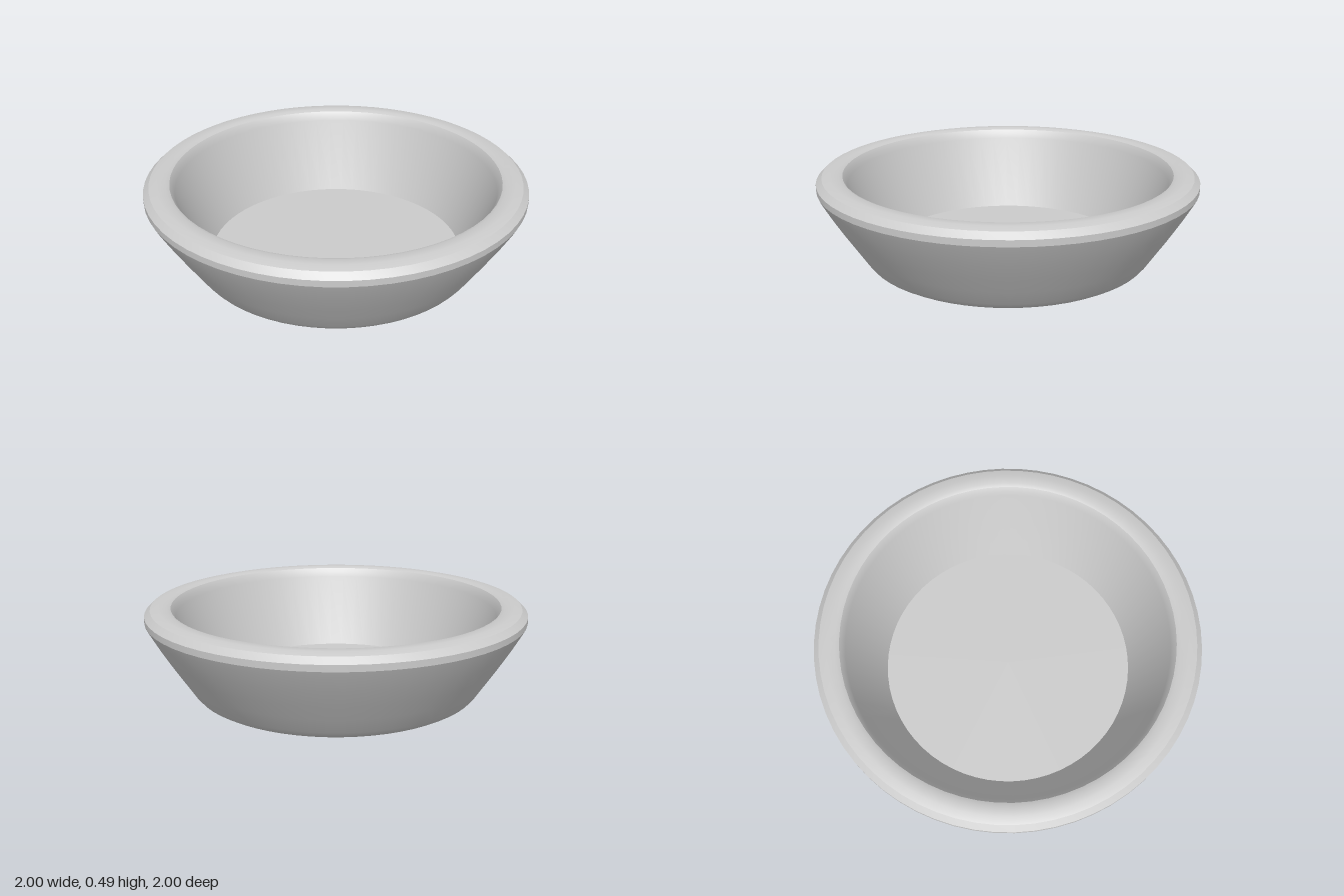
import * as THREE from 'three';
import { toCreasedNormals } from 'three/addons/utils/BufferGeometryUtils.js';

// Revolves a profile of [radius, height] pairs, keeping sharp edges crisp
function revolve(name, profile) {
  const points = profile.map(([r, y]) => new THREE.Vector2(r, y));
  const geometry = toCreasedNormals(new THREE.LatheGeometry(points, 64), 0.42);
  const mesh = new THREE.Mesh(geometry, new THREE.MeshStandardMaterial({ color: 0xcccccc }));
  mesh.name = name;
  return mesh;
}

export function createModel() {
  const group = new THREE.Group();
  group.name = 'bowl';

  group.add(revolve('bowlBody', [
    // underside and rounded foot
    [0, 0], [0.69, 0], [0.73, 0.01], [0.755, 0.025], [0.775, 0.05],
    // flared outer wall
    [0.83, 0.135], [0.885, 0.22], [0.94, 0.31], [0.985, 0.39], [1, 0.42],
    // rounded rim
    [1, 0.452], [0.97, 0.48], [0.93, 0.49], [0.885, 0.49], [0.865, 0.482], [0.85, 0.46],
    // sloping inner wall and flat floor
    [0.842, 0.435], [0.676, 0.04], [0, 0.04],
  ]));

  return group;
}
